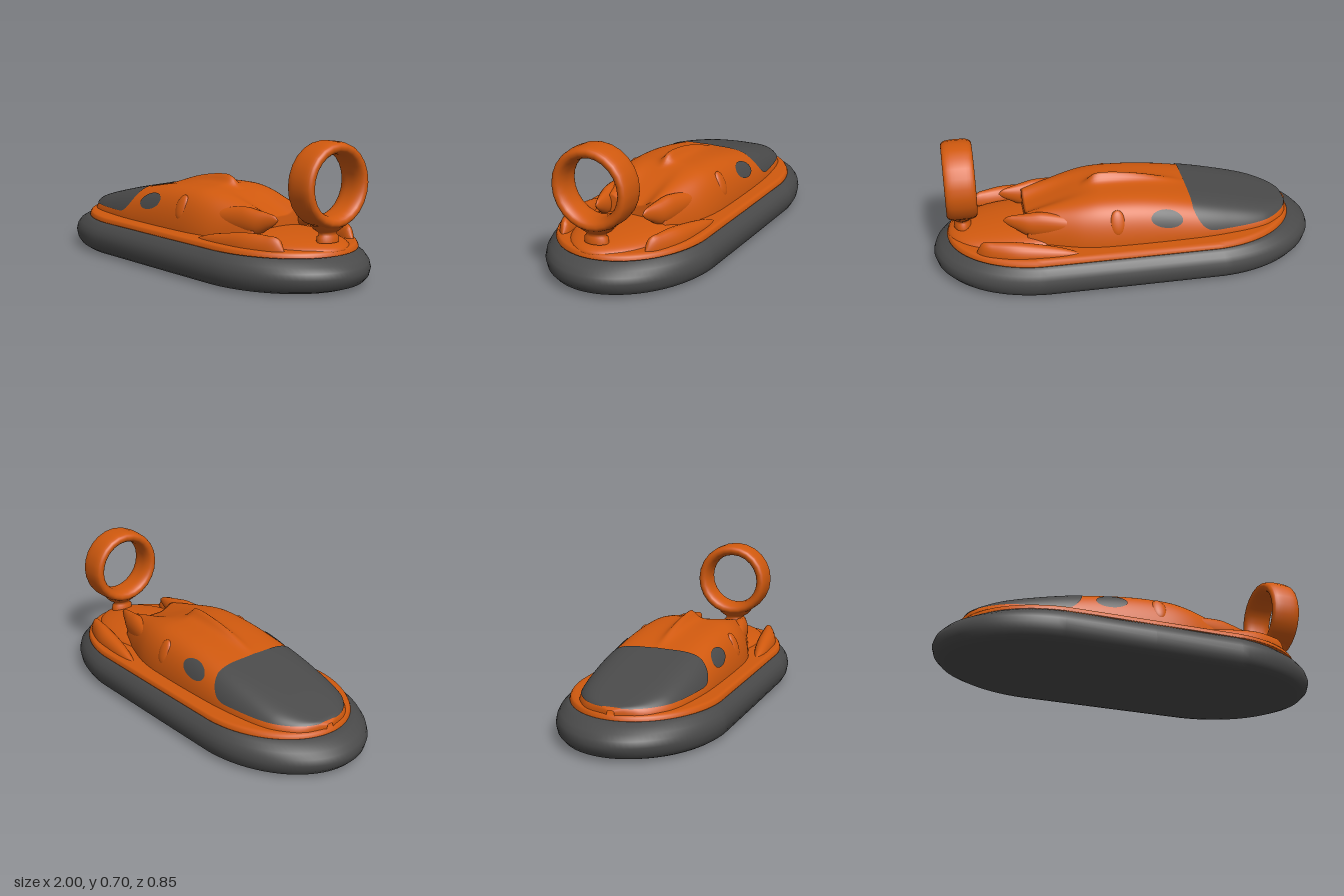
import * as THREE from 'three';
import { mergeVertices } from 'three/addons/utils/BufferGeometryUtils.js';

const orange = new THREE.MeshStandardMaterial({ color: 0xd0590e, side: THREE.DoubleSide });
const dark = new THREE.MeshStandardMaterial({ color: 0x4a4a4a, side: THREE.DoubleSide });

function mesh(name, geometry, material) {
  const m = new THREE.Mesh(geometry, material);
  m.name = name;
  return m;
}

// Grid surface from fn(u, v) -> [x, y, z], both parameters 0..1
function surface(fn, nu, nv) {
  const pos = [], idx = [];
  for (let i = 0; i <= nu; i++) for (let j = 0; j <= nv; j++) pos.push(...fn(i / nu, j / nv));
  for (let i = 0; i < nu; i++) for (let j = 0; j < nv; j++) {
    const a = i * (nv + 1) + j, b = a + nv + 1;
    idx.push(a, b, a + 1, b, b + 1, a + 1);
  }
  const g = new THREE.BufferGeometry();
  g.setAttribute('position', new THREE.Float32BufferAttribute(pos, 3));
  g.setIndex(idx);
  const welded = mergeVertices(g, 1e-5);
  welded.computeVertexNormals();
  return welded;
}

// Smooth interpolation through [x, value] pairs
function curve(pts) {
  const n = pts.length - 1;
  const slope = (i) => {
    const a = pts[Math.max(i - 1, 0)], b = pts[Math.min(i + 1, n)];
    return (b[1] - a[1]) / (b[0] - a[0]);
  };
  return (x) => {
    if (x <= pts[0][0]) return pts[0][1];
    if (x >= pts[n][0]) return pts[n][1];
    let i = 0;
    while (x > pts[i + 1][0]) i++;
    const d = pts[i + 1][0] - pts[i][0], t = (x - pts[i][0]) / d, s = 1 - t;
    return pts[i][1] * (1 + 2 * t) * s * s + slope(i) * d * t * s * s
      + pts[i + 1][1] * (3 - 2 * t) * t * t - slope(i + 1) * d * t * t * s;
  };
}

// Stacked outlines with straight sides and elliptical ends: rings of [halfLength, halfWidth, y]
function stacked(rings, cx) {
  const straight = 0.42;
  return surface((u, v) => {
    const [a, b, y] = rings[Math.round(v * (rings.length - 1))];
    const th = u * Math.PI * 2, c = Math.cos(th);
    const s = Math.min(straight, a);
    return [cx + (Math.abs(c) < 1e-6 ? 0 : Math.sign(c) * s) + (a - s) * c, y, -b * Math.sin(th)];
  }, 96, rings.length - 1);
}

// Tapered form through elliptical stations [x, y, z, ry, rz]
function tapered(stations) {
  const f = [1, 2, 3, 4].map((k) => curve(stations.map((s) => [s[0], s[k]])));
  const x0 = stations[0][0], x1 = stations[stations.length - 1][0];
  return surface((u, v) => {
    const x = x0 + (x1 - x0) * u, a = v * Math.PI * 2;
    return [x, f[0](x) + f[2](x) * Math.sin(a), f[1](x) + f[3](x) * Math.cos(a)];
  }, 40, 24);
}

// Cabin rules: half width, roof height, centre ridge and rear trough along x
const BASE = 0.19, REAR = 0.525;
const width = curve([[-0.875, 0.02], [-0.85, 0.11], [-0.8, 0.18], [-0.7, 0.245], [-0.5, 0.285],
  [-0.3, 0.3], [0.1, 0.3], [0.25, 0.283], [0.4, 0.235], [0.53, 0.19]]);
const roof = curve([[-0.875, 0.215], [-0.85, 0.232], [-0.6, 0.302], [-0.32, 0.365], [-0.1, 0.4],
  [0.08, 0.412], [0.2, 0.408], [0.4, 0.37], [0.53, 0.345]]);
const ridge = curve([[-0.36, 0], [-0.3, 0.004], [-0.1, 0.032], [0.1, 0.05], [0.16, 0.043], [0.2, 0.012], [0.23, 0]]);
const trough = curve([[0.15, 0], [0.25, 0.008], [0.53, 0.05]]);

function cabinPoint(x, t, off = 0) {
  const z = (width(x) + off) * t;
  let y = BASE + (roof(x) + off - BASE) * Math.pow(Math.max(0, 1 - Math.abs(t) ** 5), 1 / 1.6);
  y += ridge(x) * Math.pow(1 + (z / 0.032) ** 2, -1.5);
  y -= trough(x) * Math.exp(-((z / 0.1) ** 4));
  return [x, y, z];
}
// Side parameter t at which the cabin has height y
const sideAt = (x, y) => Math.pow(Math.max(0, 1 - Math.min(1, (y - BASE) / (roof(x) - BASE)) ** 1.6), 0.2);

export function createModel() {
  const model = new THREE.Group();
  model.name = 'hovercraft';

  // Inflated skirt with flat underside
  model.add(mesh('skirt', stacked([[0, 0, 0], [0.88, 0.36, 0], [0.925, 0.385, 0.006], [0.965, 0.405, 0.02],
    [0.99, 0.419, 0.045], [1, 0.425, 0.08], [0.99, 0.42, 0.11], [0.965, 0.408, 0.135], [0.92, 0.388, 0.157],
    [0.88, 0.368, 0.174], [0, 0, 0.174]], 0), dark));

  // Deck plate
  model.add(mesh('deck', stacked([[0.88, 0.36, 0.17], [0.905, 0.377, 0.17], [0.906, 0.378, 0.174],
    [0.9, 0.374, 0.188], [0.893, 0.368, 0.196], [0.875, 0.35, 0.199], [0, 0, 0.199]], 0.02), orange));

  // Cabin shell, closed at the rear
  const rows = 110;
  model.add(mesh('cabin', surface((u, v) => {
    const x = -0.875 + (REAR + 0.875) * Math.min(1, u * rows / (rows - 1));
    const p = cabinPoint(x, -Math.sin((v - 0.5) * Math.PI));
    if (u === 1) p[1] = BASE;
    return p;
  }, rows, 90), orange));

  // Wraparound windscreen
  model.add(mesh('windscreen', surface((u, v) => {
    const x = -0.862 + 0.542 * u;
    const k = Math.max(0, (x + 0.45) / 0.13);
    const tm = sideAt(x, 0.222 + 0.008 * u + 0.105 * k ** 3);
    return cabinPoint(x, -tm * Math.sin((v - 0.5) * Math.PI), 0.004);
  }, 60, 60), dark));

  // Parts repeated on both sides
  for (const s of [1, -1]) {
    const side = new THREE.Group();
    side.name = s > 0 ? 'leftSide' : 'rightSide';
    side.scale.z = s;

    side.add(mesh('sideWindow', surface((u, v) => {
      const a = v * Math.PI * 2;
      const x = -0.178 + 0.082 * u * Math.cos(a);
      const y = 0.31 + 0.04 * u * Math.sin(a) + 0.01 * u * Math.cos(a);
      return cabinPoint(x, sideAt(x, y), 0.004);
    }, 8, 40), dark));

    const scoop = mesh('airScoop', new THREE.SphereGeometry(1, 24, 16), orange);
    scoop.scale.set(0.04, 0.066, 0.02);
    scoop.position.set(0.075, 0.312, 0.261);
    scoop.rotation.x = -0.38;
    side.add(scoop);

    side.add(mesh('rearFin', tapered([[0.3, 0.285, 0.2, 0.05, 0.04], [0.45, 0.285, 0.165, 0.07, 0.045],
      [0.52, 0.285, 0.152, 0.062, 0.04], [0.58, 0.298, 0.14, 0.04, 0.024], [0.62, 0.307, 0.133, 0.022, 0.011],
      [0.642, 0.31, 0.13, 0.001, 0.001]]), orange));

    side.add(mesh('sidePod', tapered([[0.26, 0.19, 0.325, 0.002, 0.004], [0.36, 0.19, 0.312, 0.035, 0.03],
      [0.48, 0.19, 0.295, 0.058, 0.045], [0.6, 0.19, 0.278, 0.074, 0.05], [0.7, 0.19, 0.255, 0.073, 0.04],
      [0.76, 0.19, 0.237, 0.062, 0.026], [0.79, 0.19, 0.228, 0.002, 0.003]]), orange));
    model.add(side);
  }

  // Raised rear deck under the fan
  const mound = mesh('rearDeckMound', new THREE.SphereGeometry(1, 40, 20, 0, Math.PI * 2, 0, Math.PI / 2), orange);
  mound.scale.set(0.37, 0.062, 0.24);
  mound.position.set(0.55, 0.19, 0);
  model.add(mound);

  // Fan pedestal
  const stem = [[0.062, 0.225], [0.06, 0.25], [0.05, 0.257], [0.05, 0.27], [0.06, 0.277], [0.08, 0.29], [0.1, 0.312]];
  const pedestal = mesh('fanPedestal', new THREE.LatheGeometry(stem.map((p) => new THREE.Vector2(...p)), 32), orange);
  pedestal.scale.x = 0.72;
  pedestal.position.x = 0.842;
  model.add(pedestal);

  // Fan shroud ring
  const profile = [[0.143, 0], [0.147, -0.045], [0.162, -0.072], [0.182, -0.077], [0.198, -0.064], [0.205, 0],
    [0.198, 0.064], [0.182, 0.077], [0.162, 0.072], [0.147, 0.045]];
  const loop = new THREE.CatmullRomCurve3(profile.map(([r, y]) => new THREE.Vector3(r, y, 0)), true);
  const shroud = new THREE.LatheGeometry(loop.getPoints(40).map((p) => new THREE.Vector2(p.x, p.y)), 24);
  shroud.rotateZ(Math.PI / 2);
  const ring = mesh('fanShroud', shroud, orange);
  ring.position.set(0.842, 0.495, 0);
  model.add(ring);

  return model;
}
